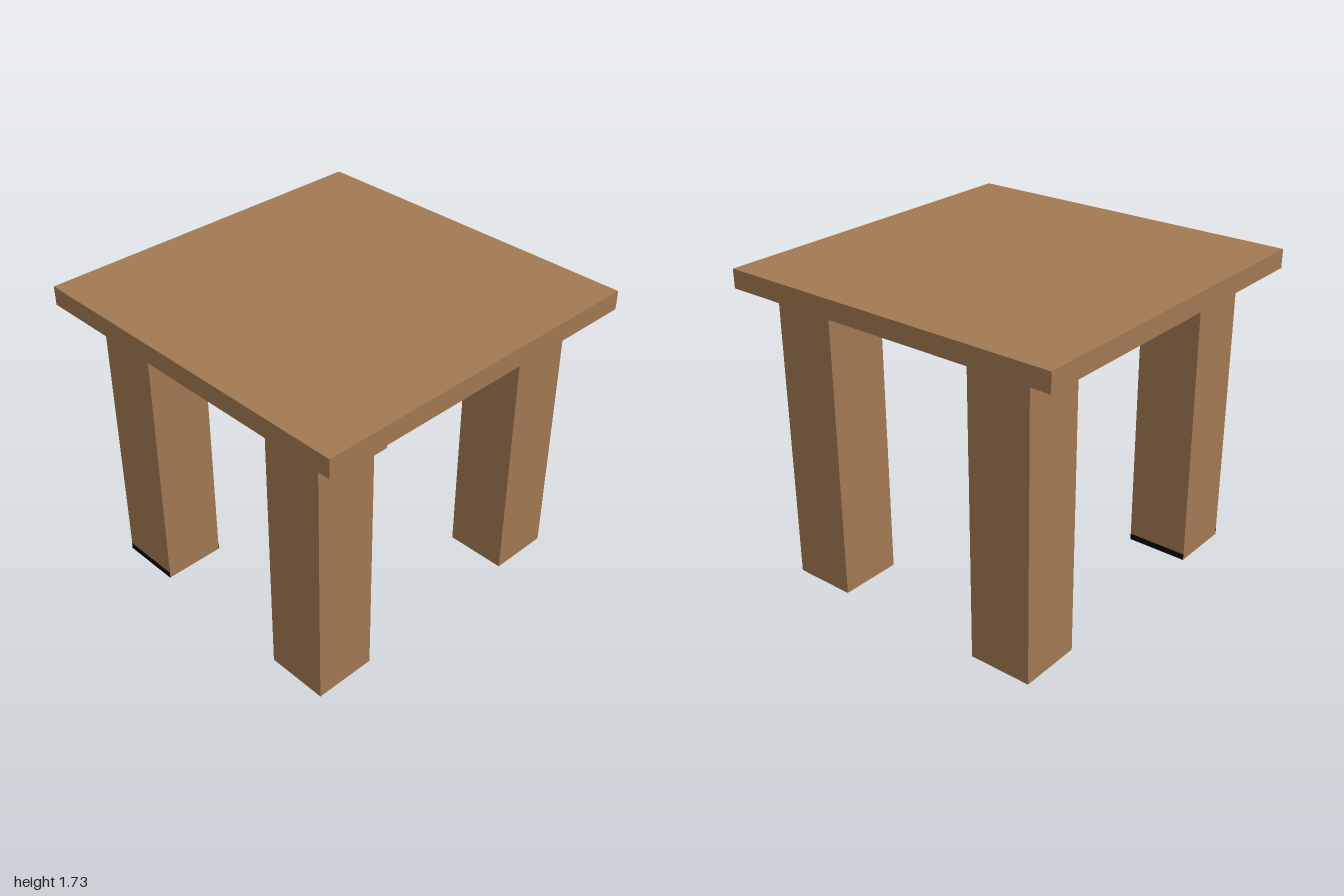
import * as THREE from 'three';

const TOP_Y = 1.73, SLAB = 0.105, LEG = 0.355;
const LEG_H = TOP_Y - SLAB;

export function createModel() {
  const wood = new THREE.MeshStandardMaterial({ color: 0xa37952 });
  wood.name = 'wood brown';
  const black = new THREE.MeshStandardMaterial({ color: 0x050505 });
  black.name = 'black';

  const model = new THREE.Group();
  model.name = 'table';

  // Box standing with its underside at height y
  const box = (name, material, [w, h, d], [x, y, z]) => {
    const mesh = new THREE.Mesh(new THREE.BoxGeometry(w, h, d), material);
    mesh.name = name;
    mesh.position.set(x, y + h / 2, z);
    model.add(mesh);
  };

  box('tableTop', wood, [2, SLAB, 2], [0, LEG_H, 0]);

  // Four legs, set slightly off centre under the top
  const legX = { Right: -0.662, Left: 0.748 };
  const legZ = { front: 0.582, back: -0.653 };
  for (const [end, z] of Object.entries(legZ)) {
    for (const [side, x] of Object.entries(legX)) {
      box(`${end}${side}Leg`, wood, [LEG, LEG_H, LEG], [x, 0, z]);
    }
  }

  // Thin black strips at the foot of one leg, on its two sides
  for (const s of [-1, 1]) {
    box('footStrip', black, [0.004, 0.035, LEG], [legX.Right + s * LEG / 2, 0, legZ.back]);
  }

  return model;
}
